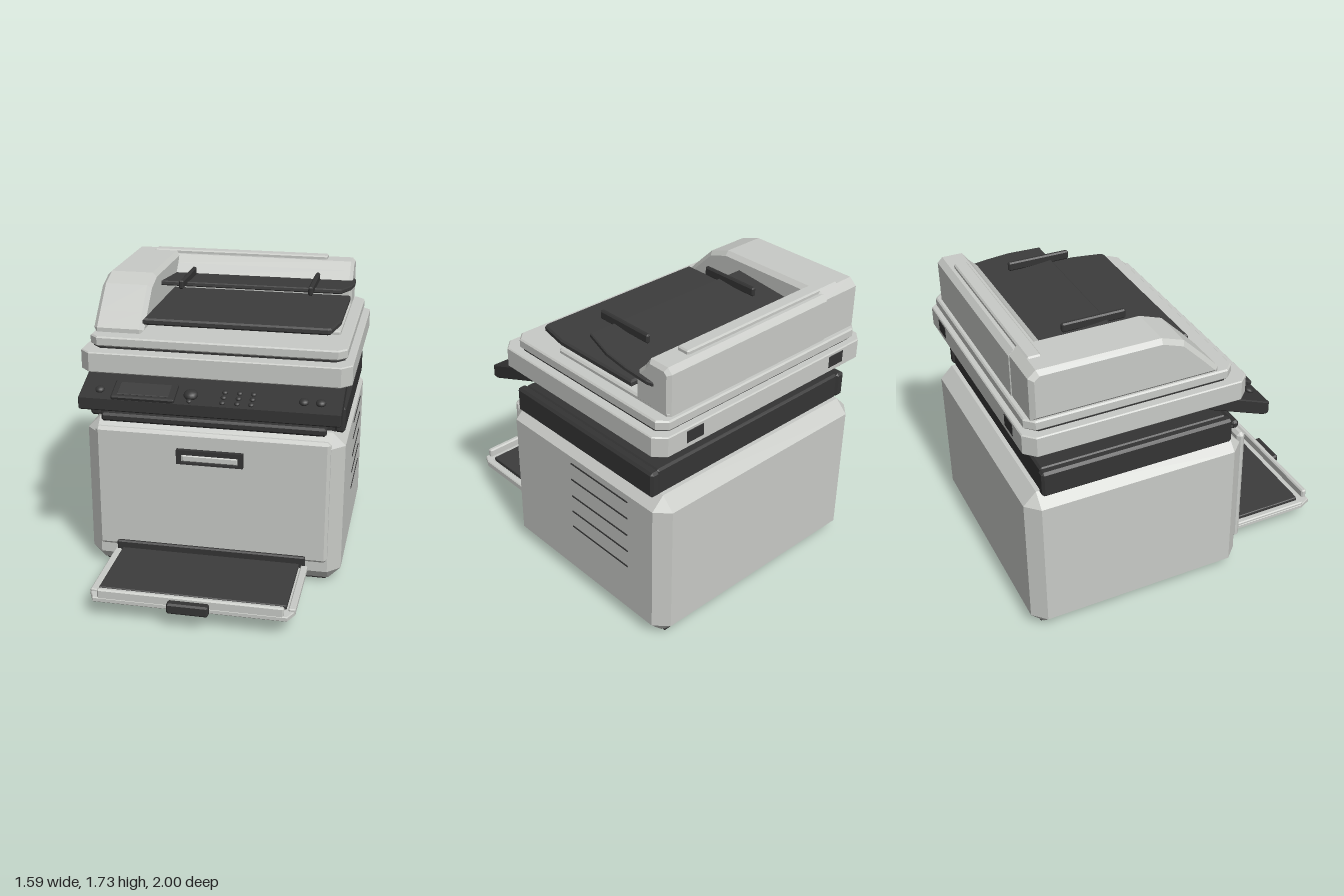
import * as THREE from 'three';
import { ConvexGeometry } from 'three/addons/geometries/ConvexGeometry.js';

const mat = (name, color) => Object.assign(new THREE.MeshStandardMaterial({ color }), { name });

export function createModel() {
  const light = mat('light grey', 0xc8cac6);
  const dark = mat('charcoal', 0x343434);
  const trayDark = mat('tray charcoal', 0x3c3c3c);
  const root = new THREE.Group();
  root.name = 'printer';

  const add = (name, geo, material, parent = root) => {
    const mesh = new THREE.Mesh(geo, material);
    mesh.name = name;
    parent.add(mesh);
    return mesh;
  };

  // Box with every edge chamfered by c
  const cham = (name, m, x0, x1, y0, y1, z0, z1, c = 0.008, parent = root) => {
    const pts = [];
    for (const [x, sx] of [[x0, 1], [x1, -1]])
      for (const [y, sy] of [[y0, 1], [y1, -1]])
        for (const [z, sz] of [[z0, 1], [z1, -1]])
          pts.push(
            new THREE.Vector3(x, y + sy * c, z + sz * c),
            new THREE.Vector3(x + sx * c, y, z + sz * c),
            new THREE.Vector3(x + sx * c, y + sy * c, z));
    return add(name, new ConvexGeometry(pts), m, parent);
  };

  const bevelled = (shape, depth, b) => new THREE.ExtrudeGeometry(shape, {
    depth: depth - 2 * b, bevelEnabled: b > 0, bevelSize: b, bevelThickness: b,
    bevelOffset: -b, bevelSegments: 1,
  }).translate(0, 0, b);

  // Outline of [x, z] points raised from y0 to y1
  const slab = (name, m, pts, y0, y1, b = 0) => {
    const s = new THREE.Shape(pts.map(([x, z]) => new THREE.Vector2(x, -z)));
    return add(name, bevelled(s, y1 - y0, b).rotateX(-Math.PI / 2).translate(0, y0, 0), m);
  };

  // Side profile of [z, y] points stretched from x0 to x1
  const profile = (name, m, pts, x0, x1, b = 0) => {
    const s = new THREE.Shape(pts.map(([z, y]) => new THREE.Vector2(-z, y)));
    return add(name, bevelled(s, x1 - x0, b).rotateY(Math.PI / 2).translate(x0, 0, 0), m);
  };

  const octagon = (x, z0, z1, c) => [
    [-x, z0 + c], [-x + c, z0], [x - c, z0], [x, z0 + c],
    [x, z1 - c], [x - c, z1], [-x + c, z1], [-x, z1 - c]];

  // Main body, foot plate and side vents
  cham('body', light, -0.77, 0.77, 0.01, 0.95, -1, 0.32, 0.075);
  cham('footPlate', dark, -0.685, 0.685, 0, 0.02, -0.94, 0.245, 0.005);
  for (const y of [0.83, 0.72, 0.605, 0.495, 0.385])
    cham('sideVent', dark, 0.765, 0.774, y - 0.005, y + 0.005, -0.73, -0.255, 0.002);

  // Front door with a framed pull
  cham('frontDoor', light, -0.695, 0.695, 0.16, 0.925, 0.31, 0.362, 0.018);
  const frame = new THREE.Shape();
  frame.moveTo(-0.2, 0.74).lineTo(0.195, 0.74).lineTo(0.195, 0.828).lineTo(-0.2, 0.828);
  const hole = new THREE.Path();
  hole.moveTo(-0.175, 0.75).lineTo(-0.175, 0.8).lineTo(0.165, 0.8).lineTo(0.165, 0.75);
  frame.holes.push(hole);
  add('doorPullFrame', new THREE.ExtrudeGeometry(frame, { depth: 0.033, bevelEnabled: false })
    .translate(0, 0, 0.357), dark);
  cham('doorPull', light, -0.17, 0.16, 0.753, 0.792, 0.355, 0.378, 0.006);

  // Dark collar above the body
  cham('collar', dark, -0.71, 0.71, 0.935, 1.1, -0.9, 0.215, 0.012);
  for (const s of [-1, 1])
    cham('collarRail', dark, s * 0.73 - 0.03, s * 0.73 + 0.03, 0.945, 1.1, -0.91, 0.23, 0.014);
  cham('collarLip', dark, -0.66, 0.66, 0.955, 0.975, 0.2, 0.31, 0.004);
  cham('collarBar', dark, -0.665, 0.665, 0.95, 1.0, 0.285, 0.33, 0.013);

  // Sloping control panel
  profile('controlPanel', dark, [[0.455, 1.067], [0.463, 1.075], [0.463, 1.14], [0.205, 1.24],
    [0.083, 1.24], [0.083, 1.2], [0.43, 1.067]], -0.755, 0.755, 0.006);
  const controls = new THREE.Group();
  controls.name = 'controls';
  controls.position.set(0, 1.171, 0.39);
  controls.rotation.x = 0.37;
  root.add(controls);
  cham('displayHousing', dark, -0.56, -0.19, -0.01, 0.022, -0.075, 0.078, 0.008, controls);
  cham('displayScreen', trayDark, -0.525, -0.225, 0.015, 0.026, -0.05, 0.055, 0.003, controls);
  const button = (name, x, z, r) => {
    const b = add(name, new THREE.SphereGeometry(r, 14, 8), dark, controls);
    b.scale.y = 0.6;
    b.position.set(x, 0.006, z);
  };
  button('statusButton', -0.64, 0.005, 0.028);
  button('selectorKnob', -0.105, 0, 0.042);
  button('selectorKey', -0.105, 0.055, 0.016);
  for (const x of [0.085, 0.17, 0.25])
    for (const z of [-0.04, 0.005, 0.05]) button('keypadKey', x, z, 0.017);
  for (const x of [0.54, 0.635]) button('startButton', x, -0.005, 0.029);

  // Scanner bed, seam, lid and rear hinges
  slab('scannerBed', light, octagon(0.793, -0.998, 0.31, 0.06), 1.242, 1.363, 0.006);
  slab('lidSeam', dark, octagon(0.74, -0.955, 0.215, 0.05), 1.355, 1.385);
  slab('scannerLid', light, octagon(0.755, -0.975, 0.23, 0.05), 1.377, 1.435, 0.008);
  for (const s of [-1, 1])
    cham('rearHinge', dark, s * 0.545 - 0.06, s * 0.545 + 0.06, 1.27, 1.345, -1, -0.985, 0.003);

  // Document feeder: base, side hump, rear housing and ridge
  cham('feederBase', light, -0.72, 0.685, 1.425, 1.46, -0.945, -0.08, 0.01);
  profile('feederHump', light, [[0.13, 1.43], [0.13, 1.46], [0.05, 1.545], [-0.08, 1.675],
    [-0.21, 1.72], [-0.9, 1.72], [-0.945, 1.68], [-0.945, 1.43]], -0.755, -0.45, 0.025);
  profile('feederHousing', light, [[-0.7, 1.43], [-0.7, 1.59], [-0.765, 1.655], [-0.8, 1.705],
    [-0.92, 1.705], [-0.95, 1.675], [-0.95, 1.43]], -0.5, 0.688, 0.02);
  cham('feederRidge', light, -0.62, 0.515, 1.69, 1.728, -0.9, -0.822, 0.008);

  // Lower output tray of the feeder
  slab('feederOutputTray', trayDark, [[-0.46, -0.67], [0.685, -0.67], [0.685, -0.1],
    [0.65, 0.08], [0.63, 0.095], [-0.46, 0.095]], 1.48, 1.52, 0.01);

  // Tilted input tray with a curved outer edge
  const input = slab('feederInputTray', trayDark, [[-0.455, -0.74], [0.655, -0.74], [0.655, -0.84],
    [0.69, -0.84], [0.705, -0.8], [0.712, -0.65], [0.705, -0.5], [0.68, -0.4], [0.66, -0.318],
    [-0.455, -0.318]], -0.014, 0.014, 0.006);
  input.geometry.translate(0, 0, 0.58);
  input.position.set(0, 1.603, -0.58);
  input.rotation.x = -0.105;
  for (const x of [-0.3, 0.485])
    cham('paperGuide', dark, x - 0.014, x + 0.014, 1.625, 1.678, -0.585, -0.21, 0.008);

  // Fold-out paper tray
  slab('paperTray', light, [[-0.59, 0.37], [0.585, 0.37], [0.585, 0.88], [0.55, 0.955],
    [-0.555, 0.955], [-0.59, 0.88]], 0.105, 0.135, 0.005);
  for (const s of [-1, 1])
    cham('paperTrayRim', light, s * 0.567 - 0.02, s * 0.567 + 0.02, 0.12, 0.15, 0.38, 0.89, 0.006);
  cham('paperTrayLip', light, -0.53, 0.53, 0.11, 0.185, 0.92, 0.953, 0.008);
  cham('paperTrayBed', trayDark, -0.54, 0.535, 0.13, 0.16, 0.385, 0.875, 0.004);
  cham('paperTrayHinge', dark, -0.575, 0.57, 0.12, 0.203, 0.36, 0.388, 0.008);
  cham('paperTrayGrip', dark, -0.12, 0.117, 0.103, 0.167, 0.945, 1.0, 0.01);

  return root;
}
